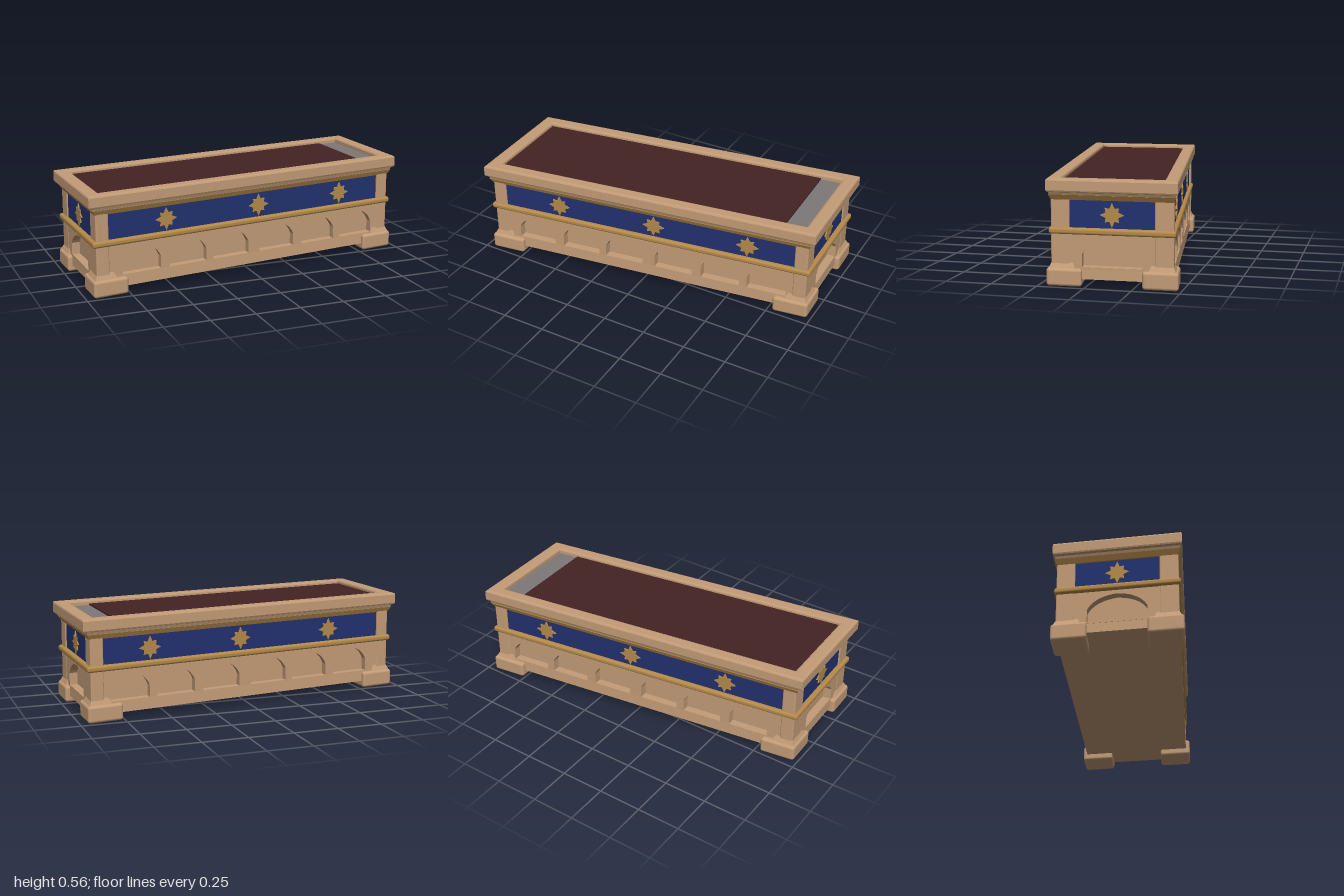
import * as THREE from 'three';
import { RoundedBoxGeometry } from 'three/addons/geometries/RoundedBoxGeometry.js';

const paint = (name, color) => new THREE.MeshStandardMaterial({ name, color });

// The tomb stands askew: z slides with x, and x slightly with z
const SKEW = new THREE.Matrix4().set(
  1, 0, 0.03, 0,
  0, 1, 0, 0,
  -0.145, 0, 1, 0,
  0, 0, 0, 1);

// Block between two heights with its own half sizes at bottom and top
function taperedBlock(y0, y1, x0, z0, x1, z1) {
  const geo = new THREE.BoxGeometry(2, 1, 2);
  const p = geo.attributes.position;
  for (let i = 0; i < p.count; i++) {
    const top = p.getY(i) > 0;
    p.setXYZ(i, p.getX(i) * (top ? x1 : x0), top ? y1 : y0, p.getZ(i) * (top ? z1 : z0));
  }
  geo.computeVertexNormals();
  return geo;
}

const rect = (T, x, y0, y1) => new T([[-x, y0], [x, y0], [x, y1], [-x, y1]].map(([a, b]) => new THREE.Vector2(a, b)));

// Slightly pointed arch opening
function archHole(cx, half) {
  const y0 = 0.1, spring = 0.17, apex = 0.252;
  const h = new THREE.Path();
  h.moveTo(cx - half, y0);
  h.lineTo(cx + half, y0);
  h.lineTo(cx + half, spring);
  h.quadraticCurveTo(cx + half * 0.75, apex - 0.01, cx, apex);
  h.quadraticCurveTo(cx - half * 0.75, apex - 0.01, cx - half, spring);
  h.closePath();
  return h;
}

// Eight-pointed star plate
function starGeometry() {
  const pts = [];
  for (let i = 0; i < 16; i++) {
    const r = i % 2 ? 0.036 : i % 4 ? 0.053 : 0.064;
    const a = Math.PI / 2 + i * Math.PI / 8;
    pts.push(new THREE.Vector2(r * Math.cos(a), r * Math.sin(a)));
  }
  return new THREE.ExtrudeGeometry(new THREE.Shape(pts), { depth: 0.008, bevelEnabled: false });
}

export function createModel() {
  const stone = paint('sandstone', 0xc39c77);
  const gold = paint('gold', 0xb58a4a);
  const blue = paint('deep blue', 0x22316f);
  const cloth = paint('dark maroon', 0x432324);
  const grey = paint('grey stone', 0x7d7878);

  const model = new THREE.Group();
  model.name = 'stoneTomb';
  const add = (name, geo, mat, turn = 0) => {
    geo.rotateY(turn).applyMatrix4(SKEW);
    const mesh = new THREE.Mesh(geo, mat);
    mesh.name = name;
    model.add(mesh);
  };

  // Body cores and base
  add('lowerCore', taperedBlock(0.04, 0.3, 0.895, 0.275, 0.895, 0.275), stone);
  add('upperCore', taperedBlock(0.28, 0.5, 0.93, 0.303, 0.93, 0.303), stone);
  add('plinth', taperedBlock(0.038, 0.102, 0.943, 0.322, 0.94, 0.318), stone);

  // Gold mouldings and the flare under the rim
  add('lowerMoulding', new RoundedBoxGeometry(1.926, 0.034, 0.664, 3, 0.013).translate(0, 0.289, 0), gold);
  add('upperMoulding', taperedBlock(0.449, 0.476, 0.945, 0.32, 0.962, 0.333), gold);
  add('rimFlare', taperedBlock(0.476, 0.495, 0.958, 0.328, 0.968, 0.335), stone);

  // Open rim around the sunken lid
  const rim = rect(THREE.Shape, 0.985, -0.342, 0.342);
  rim.holes.push(rect(THREE.Path, 0.908, -0.27, 0.27));
  const rimGeo = new THREE.ExtrudeGeometry(rim, {
    depth: 0.05, bevelThickness: 0.01, bevelSize: 0.012, bevelOffset: -0.012, bevelSegments: 2,
  });
  add('rim', rimGeo.rotateX(-Math.PI / 2).translate(0, 0.5, 0), stone);

  // Lid with cloth laid over most of it
  add('lid', taperedBlock(0.48, 0.532, 0.93, 0.3, 0.93, 0.3), grey);
  add('cloth', new THREE.BoxGeometry(1.705, 0.008, 0.556).translate(-0.0675, 0.536, 0), cloth);

  // Corner posts and feet
  for (const sx of [-1, 1]) for (const sz of [-1, 1]) {
    add('cornerPost', new RoundedBoxGeometry(0.075, 0.42, 0.1, 2, 0.008)
      .translate(sx * 0.907, 0.28, sz * 0.272), stone);
    add('foot', new RoundedBoxGeometry(0.2, 0.094, 0.188, 3, 0.016)
      .translate(sx * 0.868, 0.047, sz * 0.252), stone);
    add('postBase', taperedBlock(0.08, 0.13, 0.07, 0.075, 0.045, 0.055)
      .translate(sx * 0.893, 0, sz * 0.262), stone);
  }

  // Four sides: arcade, blue frieze and stars
  const longArches = [-0.68, -0.4, -0.13, 0.17, 0.45, 0.72];
  const longStars = [-0.53, 0.05, 0.6];
  const sides = [
    { name: 'front', turn: 0, half: 0.885, frieze: 0.88, out: 0.318, core: 0.303, arches: longArches, r: 0.113, stars: longStars },
    { name: 'back', turn: Math.PI, half: 0.885, frieze: 0.88, out: 0.318, core: 0.303, arches: longArches.map(x => -x), r: 0.113, stars: longStars.map(x => -x) },
    { name: 'leftEnd', turn: Math.PI / 2, half: 0.24, frieze: 0.225, out: 0.942, core: 0.93, arches: [0], r: 0.157, stars: [0] },
    { name: 'rightEnd', turn: -Math.PI / 2, half: 0.24, frieze: 0.225, out: 0.942, core: 0.93, arches: [0], r: 0.157, stars: [0] },
  ];
  for (const s of sides) {
    const wall = rect(THREE.Shape, s.half, 0.09, 0.285);
    for (const x of s.arches) wall.holes.push(archHole(x, s.r));
    add(s.name + 'Arcade', new THREE.ExtrudeGeometry(wall, { depth: 0.05, bevelEnabled: false, curveSegments: 8 })
      .translate(0, 0, s.out - 0.05), stone, s.turn);
    add(s.name + 'Frieze', new THREE.BoxGeometry(s.frieze * 2, 0.148, 0.008)
      .translate(0, 0.377, s.core + 0.003), blue, s.turn);
    for (const x of s.stars)
      add(s.name + 'Star', starGeometry().translate(x, 0.375, s.core + 0.006), gold, s.turn);
  }
  return model;
}
